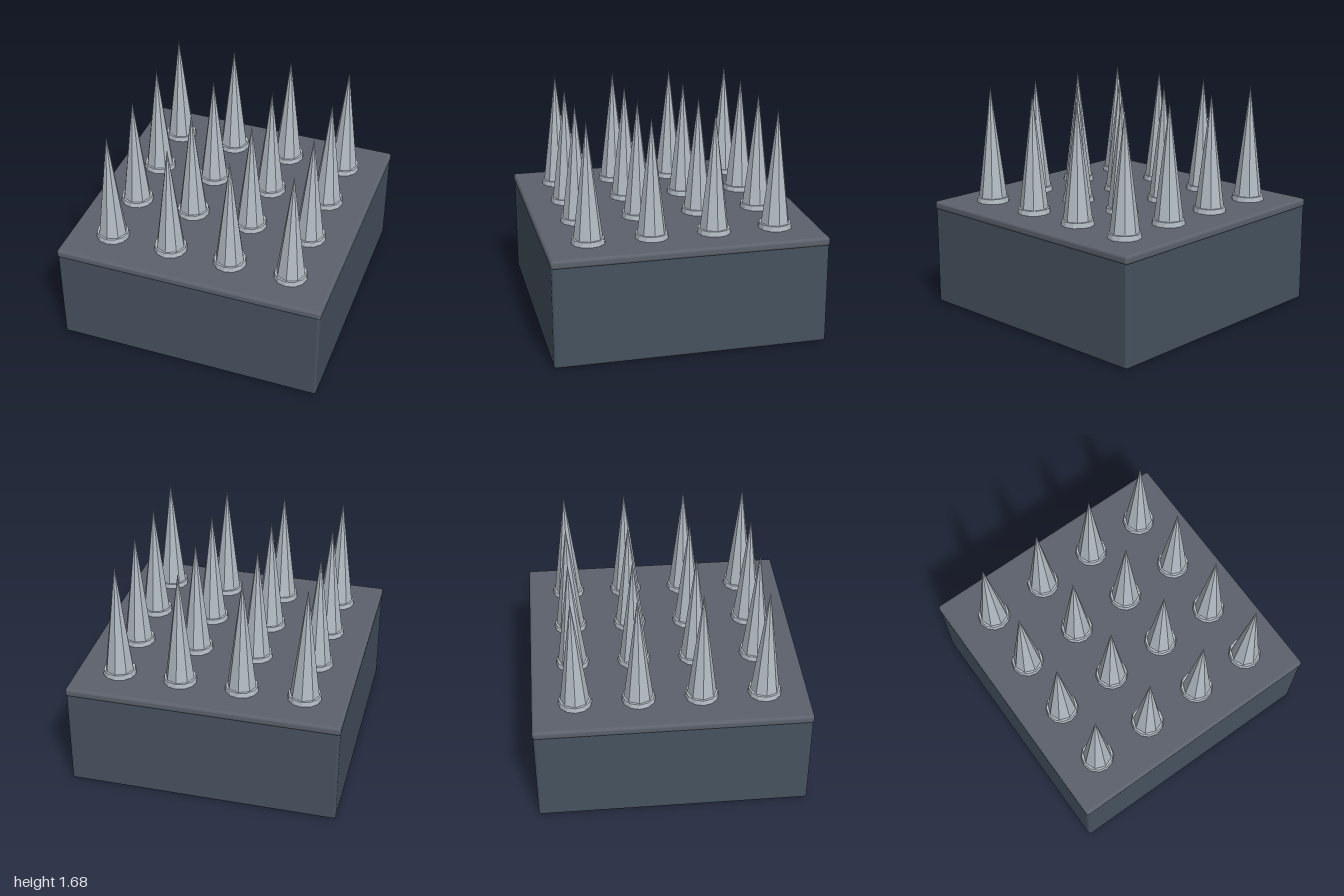
import * as THREE from 'three';
import { RoundedBoxGeometry } from 'three/addons/geometries/RoundedBoxGeometry.js';

export function createModel() {
  const model = new THREE.Group();
  model.name = 'spikeTrap';

  const baseMat = new THREE.MeshStandardMaterial({ color: 0x46525f });
  const plateMat = new THREE.MeshStandardMaterial({ color: 0x5c616c });
  const metalMat = new THREE.MeshStandardMaterial({ color: 0xb4bcc4, flatShading: true });

  const add = (parent, name, geometry, material, y) => {
    const mesh = new THREE.Mesh(geometry, material);
    mesh.name = name;
    mesh.position.y = y;
    parent.add(mesh);
    return mesh;
  };

  // Solid block with a thin top plate
  add(model, 'baseBlock', new RoundedBoxGeometry(1.99, 0.76, 1.99, 3, 0.022), baseMat, 0.38);
  add(model, 'topPlate', new RoundedBoxGeometry(2, 0.065, 2, 3, 0.022), plateMat, 0.772);

  // Four by four grid of spikes, each seated in a collar
  const collarGeo = new THREE.CylinderGeometry(0.117, 0.124, 0.045, 12);
  const coneGeo = new THREE.ConeGeometry(0.11, 0.88, 8);
  const spacing = 0.457;
  for (let row = 0; row < 4; row++) {
    for (let col = 0; col < 4; col++) {
      const spike = new THREE.Group();
      spike.name = `spike${row * 4 + col + 1}`;
      spike.position.set((col - 1.5) * spacing, 0, (row - 1.5) * spacing);
      add(spike, 'collar', collarGeo, metalMat, 0.8185);
      add(spike, 'spikeCone', coneGeo, metalMat, 1.243);
      model.add(spike);
    }
  }
  return model;
}
